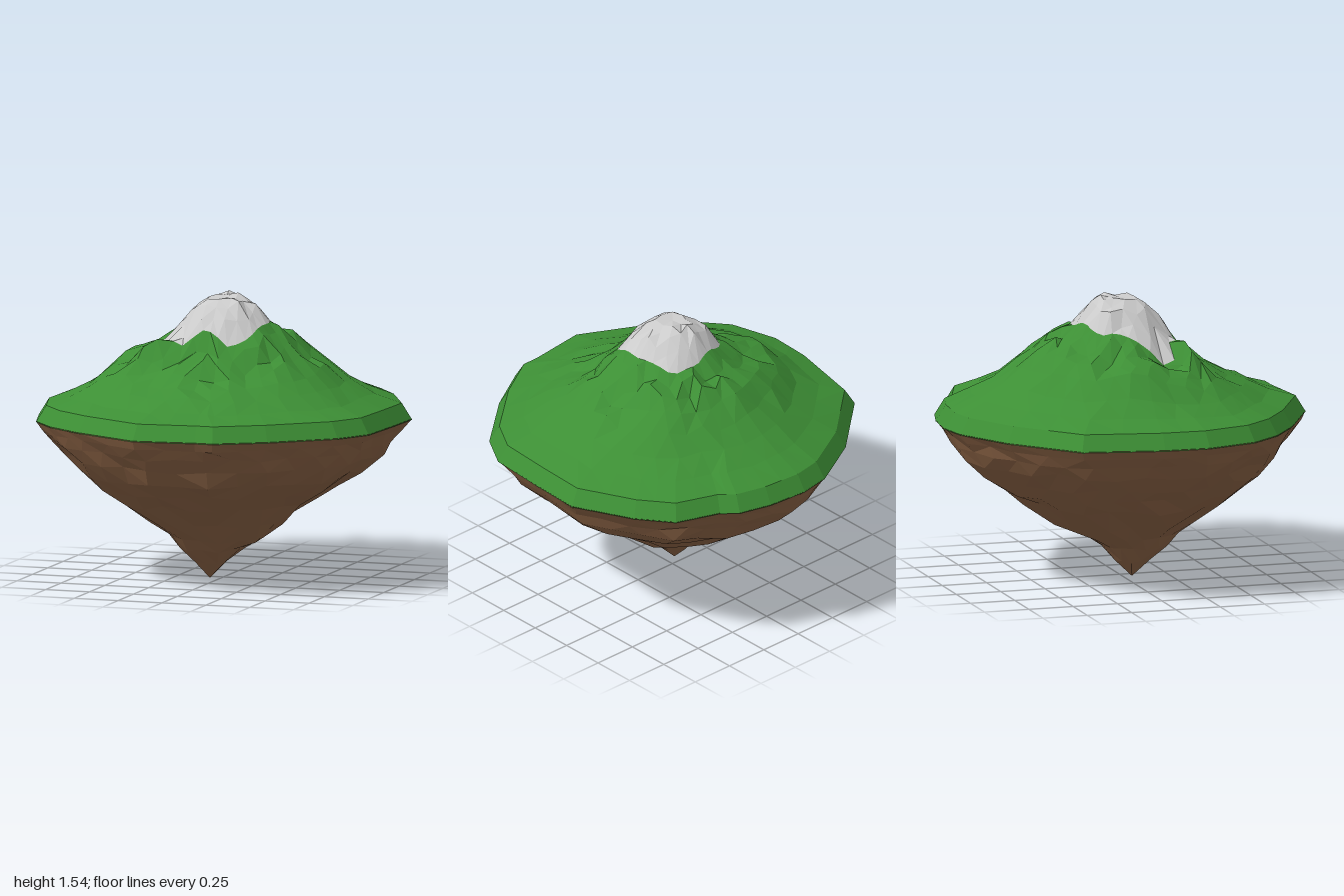
import * as THREE from 'three';

// Island outline and snow edge as x, z corners, ordered from the back through +x
const RIM = [[-0.05, -1], [0.18, -0.98], [0.36, -0.93], [0.44, -0.86], [0.68, -0.77], [0.82, -0.59],
  [0.98, -0.27], [0.97, 0.02], [0.95, 0.35], [0.84, 0.54], [0.53, 0.8], [0.27, 0.955], [0.17, 0.955],
  [-0.17, 0.995], [-0.55, 0.8], [-0.76, 0.65], [-0.9, 0.48], [-0.98, 0.2], [-0.97, -0.05],
  [-0.88, -0.49], [-0.53, -0.8], [-0.22, -0.97]];
const SNOW = [[0.05, -0.25], [0.2, -0.22], [0.26, 0], [0.22, 0.2], [0.13, 0.28], [-0.02, 0.24],
  [-0.18, 0.28], [-0.23, 0.2], [-0.35, 0.21], [-0.32, 0.08], [-0.22, -0.1], [-0.2, -0.17], [-0.13, -0.2]];

// Mountain: radius, then height towards +x, -x, +z, -z
const HILL = [[0, 1.52, 1.52, 1.52, 1.52], [0.1, 1.53, 1.52, 1.53, 1.53], [0.18, 1.48, 1.45, 1.45, 1.49],
  [0.24, 1.4, 1.37, 1.38, 1.38], [0.3, 1.37, 1.31, 1.28, 1.33], [0.38, 1.32, 1.26, 1.19, 1.31],
  [0.47, 1.23, 1.21, 1.135, 1.25], [0.57, 1.16, 1.17, 1.1, 1.17], [0.68, 1.08, 1.08, 1.06, 1.09],
  [0.8, 1.01, 1.01, 1.0, 1.02], [0.945, 0.955, 0.955, 0.955, 0.955]];
// Underside: height, then share of the outline towards +x, -x, +z, -z, then number of columns
const ROCK = [[0.87, 1, 1, 1, 1, 44], [0.82, 0.96, 0.96, 0.97, 0.96, 44], [0.76, 0.92, 0.91, 0.93, 0.93, 36],
  [0.69, 0.88, 0.84, 0.87, 0.88, 32], [0.6, 0.78, 0.74, 0.8, 0.79, 30], [0.52, 0.65, 0.64, 0.68, 0.69, 28],
  [0.44, 0.52, 0.54, 0.55, 0.58, 24], [0.32, 0.39, 0.34, 0.4, 0.41, 20], [0.23, 0.29, 0.23, 0.28, 0.24, 16],
  [0.17, 0.18, 0.16, 0.22, 0.15, 14], [0.09, 0.085, 0.09, 0.12, 0.09, 10], [0, 0, 0, 0, 0, 10]];
// Local knolls and gullies: x, z, spread, height
const BUMPS = [[-0.55, -0.07, 0.09, 0.06], [-0.36, 0.15, 0.07, -0.07], [-0.24, 0.29, 0.06, 0.09],
  [-0.35, 0.3, 0.07, 0.07], [0.42, -0.02, 0.07, -0.05], [0.44, -0.3, 0.08, 0.03], [0.04, 0.35, 0.06, 0.04],
  [0.22, 0.34, 0.06, -0.04], [-0.22, -0.4, 0.07, 0.03], [0.18, -0.42, 0.06, -0.03]];

const GRASS = 0x3d8f35;
const START = Math.atan2(RIM[0][1], RIM[0][0]);
const { lerp } = THREE.MathUtils;

// Repeatable noise in -1..1
function noise(i, j) {
  const s = Math.sin(i * 127.1 + j * 311.7 + 4.3) * 43758.5453;
  return (s - Math.floor(s)) * 2 - 1;
}

// Distance from the centre to a closed outline along an angle
function reach(outline, angle) {
  const dx = Math.cos(angle), dz = Math.sin(angle);
  let best = 0;
  outline.forEach(([ax, az], i) => {
    const [bx, bz] = outline[(i + 1) % outline.length];
    const ca = dx * az - dz * ax, cb = dx * bz - dz * bx;
    if (ca <= 1e-9 && cb >= -1e-9 && cb - ca > 1e-9) {
      const t = ca / (ca - cb);
      best = Math.max(best, dx * (ax + (bx - ax) * t) + dz * (az + (bz - az) * t));
    }
  });
  return best;
}

// Blend the four directional values of a table row
function directional(row, angle) {
  const c = Math.cos(angle), s = Math.sin(angle);
  return c * c * (c > 0 ? row[1] : row[2]) + s * s * (s > 0 ? row[3] : row[4]);
}

function hillHeight(r, angle) {
  let i = 0;
  while (i < HILL.length - 2 && r > HILL[i + 1][0]) i++;
  const t = Math.min(1, (r - HILL[i][0]) / (HILL[i + 1][0] - HILL[i][0]));
  let y = lerp(directional(HILL[i], angle), directional(HILL[i + 1], angle), t);
  const x = r * Math.cos(angle), z = r * Math.sin(angle);
  for (const [bx, bz, w, h] of BUMPS) y += h * Math.exp(-((x - bx) ** 2 + (z - bz) ** 2) / (w * w));
  return y;
}

// Increasing angles of a ring: 44 follows the outline corners and edge middles, others are even
function columns(count) {
  if (count !== 44) return Array.from({ length: count }, (_, j) => START + (j / count) * Math.PI * 2);
  return RIM.flatMap(([ax, az], i) => {
    const [bx, bz] = RIM[(i + 1) % RIM.length];
    return [Math.atan2(az, ax), Math.atan2(az + bz, ax + bx)];
  }).map((a) => (a < START - 1e-9 ? a + Math.PI * 2 : a));
}

// A ring of points; place(angle, j) returns [x, y, z]
function makeRing(count, place) {
  const angles = columns(count);
  return { angles, points: angles.map(place) };
}

// Faceted skin over rings with differing counts, from the top centre outwards and down
function skin(name, rings, color) {
  const corners = [];
  for (let k = 0; k < rings.length - 1; k++) {
    const [inner, outer] = [rings[k], rings[k + 1]];
    const n = inner.points.length, m = outer.points.length;
    const angleAt = (ring, i) => (i < ring.angles.length ? ring.angles[i] : START + Math.PI * 2);
    let i = 0, j = 0;
    while (i < n || j < m) {
      const a = inner.points[i % n], c = outer.points[j % m];
      const stepInner = j === m || (i < n && angleAt(inner, i + 1) <= angleAt(outer, j + 1));
      if (stepInner) corners.push(a, inner.points[++i % n], c);
      else corners.push(a, outer.points[++j % m], c);
    }
  }
  const geometry = new THREE.BufferGeometry();
  geometry.setAttribute('position', new THREE.Float32BufferAttribute(corners.flat(), 3));
  geometry.computeVertexNormals();
  const mesh = new THREE.Mesh(geometry, new THREE.MeshStandardMaterial({ color, flatShading: true }));
  mesh.name = name;
  return mesh;
}

const at = (r, angle, y) => [r * Math.cos(angle), y, r * Math.sin(angle)];

export function createModel() {
  const island = new THREE.Group();
  island.name = 'floatingIsland';

  // Snow cap: rings shrink from the snow edge to the summit
  const snowRings = [[0, 6], [0.3, 8], [0.52, 14], [0.76, 20], [1, 36]].map(([f, count], i) =>
    makeRing(count, (angle, j) => {
      const rough = f < 1 ? f : 0;
      const r = reach(SNOW, angle) * (f + 0.1 * rough * noise(i, j));
      return at(r, angle, hillHeight(r, angle) + 0.035 * rough * noise(j, i + 7));
    }));
  island.add(skin('snowCap', snowRings, 0xcccccc));

  // Grassy slopes: ridged near the snow, calm towards the rim
  const steps = [[0, 36], [0.1, 30], [0.2, 34], [0.32, 36], [0.46, 38], [0.62, 34], [0.8, 44], [1, 44]];
  const grassRings = steps.map(([f, count], i) => makeRing(count, (angle, j) => {
    const rim = reach(RIM, angle);
    const rough = f > 0 ? (1 - f) ** 1.3 : 0;
    const r = lerp(reach(SNOW, angle), rim * 0.945, f + 0.045 * rough * noise(i + 20, j));
    return at(r, angle, hillHeight(r / lerp(1, rim, f), angle) + rough * (0.036 * noise(j, i + 31) - 0.006));
  }));
  island.add(skin('grassSlopes', grassRings, GRASS));

  // Bevelled grass rim
  const rimRings = [[0.945, 0.955], [1, 0.865]].map(([f, y]) =>
    makeRing(44, (angle) => at(reach(RIM, angle) * f, angle, y)));
  island.add(skin('grassRim', rimRings, GRASS));

  // Rocky underside tapering to an off-centre tip
  const rockRings = ROCK.map((row, i) => makeRing(row[5], (angle, j) => {
    const y = row[0], sway = 1 - y / 0.87;
    const rough = Math.min(1, y / 0.3, (0.87 - y) / 0.2);
    const r = reach(RIM, angle) * directional(row, angle) * (1 + 0.022 * rough * noise(i + 50, j));
    const [x, py, z] = at(r, angle, y + 0.018 * rough * noise(j, i + 60));
    return [x - 0.06 * sway, py, z + 0.05 * sway];
  }));
  island.add(skin('rockUnderside', rockRings, 0x876043));

  return island;
}
